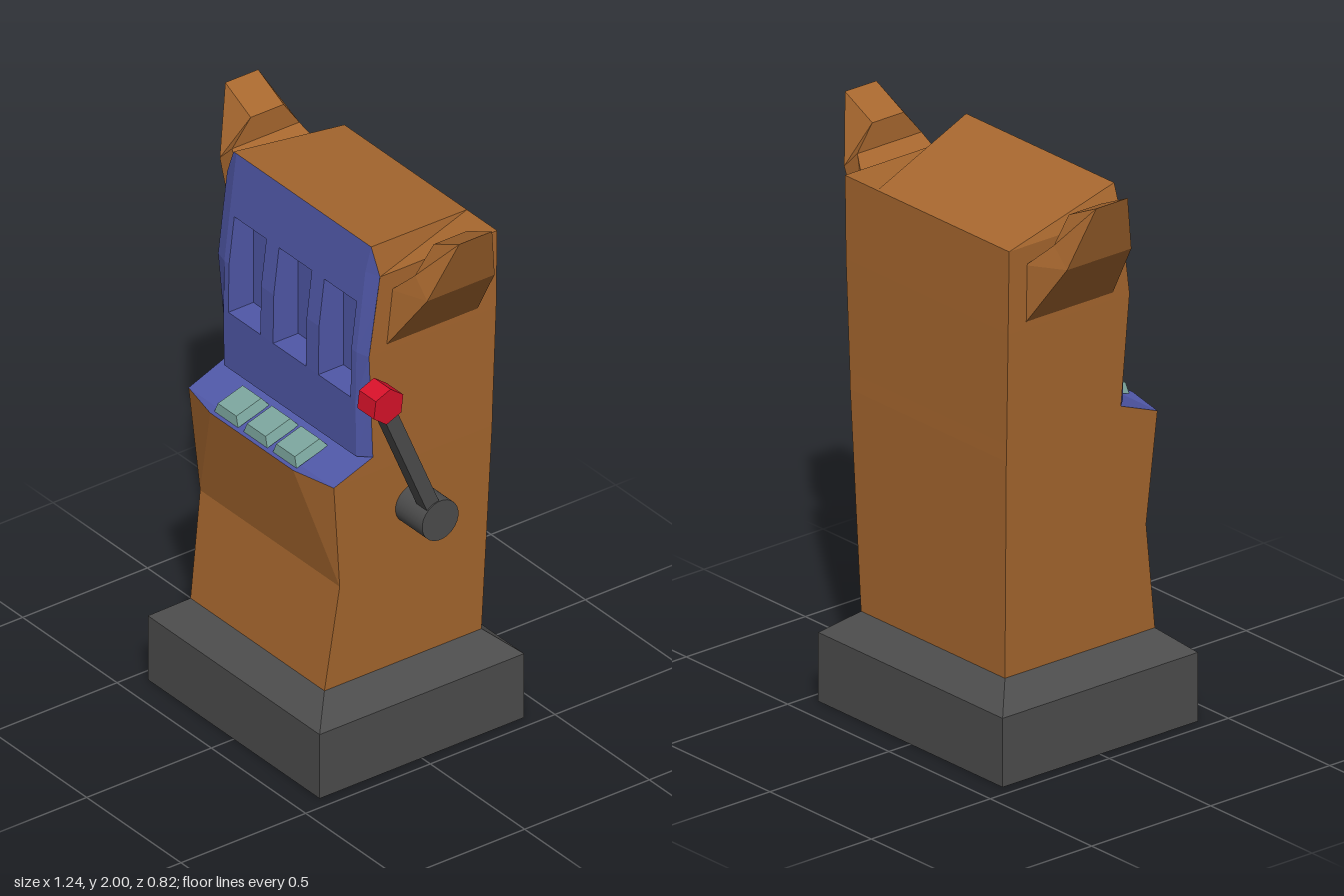
import * as THREE from 'three';

const flat = (name, color) => {
  const m = new THREE.MeshStandardMaterial({ color });
  m.name = name;
  return m;
};

// Flat-faced mesh from convex polygons (lists of [x, y, z], counter-clockwise from outside).
function polyMesh(name, polys, material) {
  const pos = [];
  for (const p of polys)
    for (let i = 1; i < p.length - 1; i++) pos.push(...p[0], ...p[i], ...p[i + 1]);
  const g = new THREE.BufferGeometry();
  g.setAttribute('position', new THREE.Float32BufferAttribute(pos, 3));
  g.computeVertexNormals();
  const mesh = new THREE.Mesh(g, material);
  mesh.name = name;
  return mesh;
}

const mirror = (polys) => polys.map((p) => p.map(([x, y, z]) => [-x, y, z]).reverse());
const both = (polys) => [...polys, ...mirror(polys)];

// Closed skin through a row of four-cornered sections.
function loft(rings) {
  const polys = [[...rings[0]].reverse(), rings[rings.length - 1]];
  for (let k = 0; k < rings.length - 1; k++)
    for (let i = 0; i < 4; i++) {
      const j = (i + 1) % 4;
      polys.push([rings[k][i], rings[k][j], rings[k + 1][j], rings[k + 1][i]]);
    }
  return polys;
}
const rect = (y, w, d) => [[-w, y, d], [w, y, d], [w, y, -d], [-w, y, -d]];

export function createModel() {
  const group = new THREE.Group();
  const brown = flat('brown', 0xa8682f);
  const grey = flat('dark grey', 0x4d4d4d);
  const blue = flat('blue', 0x5058a8);
  const red = flat('red', 0xd8122a);
  const teal = flat('pale teal', 0x7ba59d);

  // Plinth with a bevelled top
  group.add(polyMesh('base', loft([rect(0, 0.455, 0.41), rect(0.24, 0.455, 0.41), rect(0.32, 0.355, 0.315)]), grey));

  // Cabinet shell: [height, half width, front z, back z]
  const levels = [
    [0.32, 0.355, 0.315, -0.315], [0.7, 0.37, 0.265, -0.325], [1.09, 0.385, 0.3, -0.335],
    [1.15, 0.387, 0.145, -0.335], [1.54, 0.4, 0.17, -0.34], [1.83, 0.405, 0.13, -0.34],
  ];
  const front = levels.map(([y, w, f]) => [w, y, f]);
  const back = levels.map(([y, w, , b]) => [w, y, b]);
  const neg = ([x, y, z]) => [-x, y, z];
  const lip = [0.22, 1.09, 0.338];
  const body = [];
  for (let i = 0; i < levels.length - 1; i++) {
    body.push(...both([[front[i], back[i], back[i + 1], front[i + 1]]]));
    body.push([back[i], neg(back[i]), neg(back[i + 1]), back[i + 1]]);
  }
  body.push([neg(front[0]), front[0], front[1], neg(front[1])]);
  body.push([neg(front[1]), front[1], lip, neg(lip)]);
  body.push(...both([[front[1], front[2], lip]]));
  // Roof, high at the front, with tapering corner facets
  const peak = [0.365, 1.925, 0.135], ridge = [0.245, 1.83, -0.34];
  body.push([neg(peak), peak, ridge, neg(ridge)]);
  body.push(...both([[front[5], back[5], ridge, peak]]));
  group.add(polyMesh('cabinet', body, brown));

  // Button shelf
  group.add(polyMesh('shelf', [[neg(front[2]), neg(lip), lip, front[2], front[3], neg(front[3])]], blue));

  // Screen panel rows: [height, edge x, edge z, middle z]
  const rows = [
    [1.15, 0.387, 0.145, 0.185], [1.36, 0.394, 0.158, 0.186], [1.54, 0.4, 0.17, 0.183],
    [1.71, 0.403, 0.147, 0.162], [1.83, 0.405, 0.13, 0.147], [1.925, 0.365, 0.135, 0.135],
  ];
  const cols = [-0.35, -0.325, -0.155, -0.088, 0.086, 0.152, 0.323, 0.35];
  const grid = rows.map(([y, ex, ez, mz]) => [[-ex, y, ez], ...cols.map((x) => [x, y, mz]), [ex, y, ez]]);
  const windowCols = [2, 4, 6];
  const screen = [];
  for (let r = 0; r < rows.length - 1; r++)
    for (let c = 0; c < cols.length + 1; c++) {
      if (windowCols.includes(c) && (r === 1 || r === 2)) continue;
      screen.push([grid[r][c], grid[r][c + 1], grid[r + 1][c + 1], grid[r + 1][c]]);
    }
  group.add(polyMesh('screenPanel', screen, blue));

  // Recessed reel windows
  const depth = 0.085;
  const sink = ([x, y]) => [x, y, depth];
  for (const c of windowCols) {
    const [a, am, at] = [grid[1][c], grid[2][c], grid[3][c]];
    const [b, bm, bt] = [grid[1][c + 1], grid[2][c + 1], grid[3][c + 1]];
    group.add(polyMesh('reelWindow', [
      [a, sink(a), sink(at), at, am],
      [b, bm, bt, sink(bt), sink(b)],
      [a, b, sink(b), sink(a)],
      [at, sink(at), sink(bt), bt],
      [sink(a), sink(b), sink(bt), sink(at)],
    ], blue));
  }

  // Bevelled buttons lying on the sloping shelf
  for (const x of [-0.157, -0.002, 0.153]) {
    const button = polyMesh('button', loft([rect(-0.005, 0.063, 0.066), rect(0.028, 0.049, 0.052)]), teal);
    button.position.set(x, 1.114, 0.26);
    button.rotation.x = 0.3;
    group.add(button);
  }

  // Horns: sections run from the cabinet wall to the tip
  const hornRing = (ox, oy, ix, iy, f, b, fi = f) => [[ox, oy, f], [ox, oy, b], [ix, iy, b], [ix, iy, fi]];
  const horn = loft([
    hornRing(0.398, 1.56, 0.398, 1.76, 0.1, -0.265, 0.08),
    hornRing(0.55, 1.78, 0.485, 1.845, 0.05, -0.22),
    hornRing(0.62, 2, 0.485, 1.935, -0.025, -0.157),
  ]);
  group.add(polyMesh('leftHorn', horn, brown), polyMesh('rightHorn', mirror(horn), brown));

  // Lever: hub, arm and knob
  const lever = new THREE.Group();
  lever.name = 'lever';
  lever.position.set(0, 0.915, -0.025);
  lever.rotation.x = 0.4;
  const hub = new THREE.Mesh(new THREE.CylinderGeometry(0.073, 0.073, 0.16, 24).rotateZ(Math.PI / 2), grey);
  hub.name = 'leverHub';
  hub.position.x = 0.44;
  const arm = new THREE.Mesh(new THREE.BoxGeometry(0.056, 0.5, 0.052), grey);
  arm.name = 'leverArm';
  arm.position.set(0.488, 0.27, 0);
  const knobShape = new THREE.CylinderGeometry(0.064, 0.064, 0.088, 6).rotateZ(Math.PI / 2).toNonIndexed();
  knobShape.computeVertexNormals();
  const knob = new THREE.Mesh(knobShape, red);
  knob.name = 'leverKnob';
  knob.position.set(0.488, 0.556, 0);
  lever.add(hub, arm, knob);
  group.add(lever);

  return group;
}
